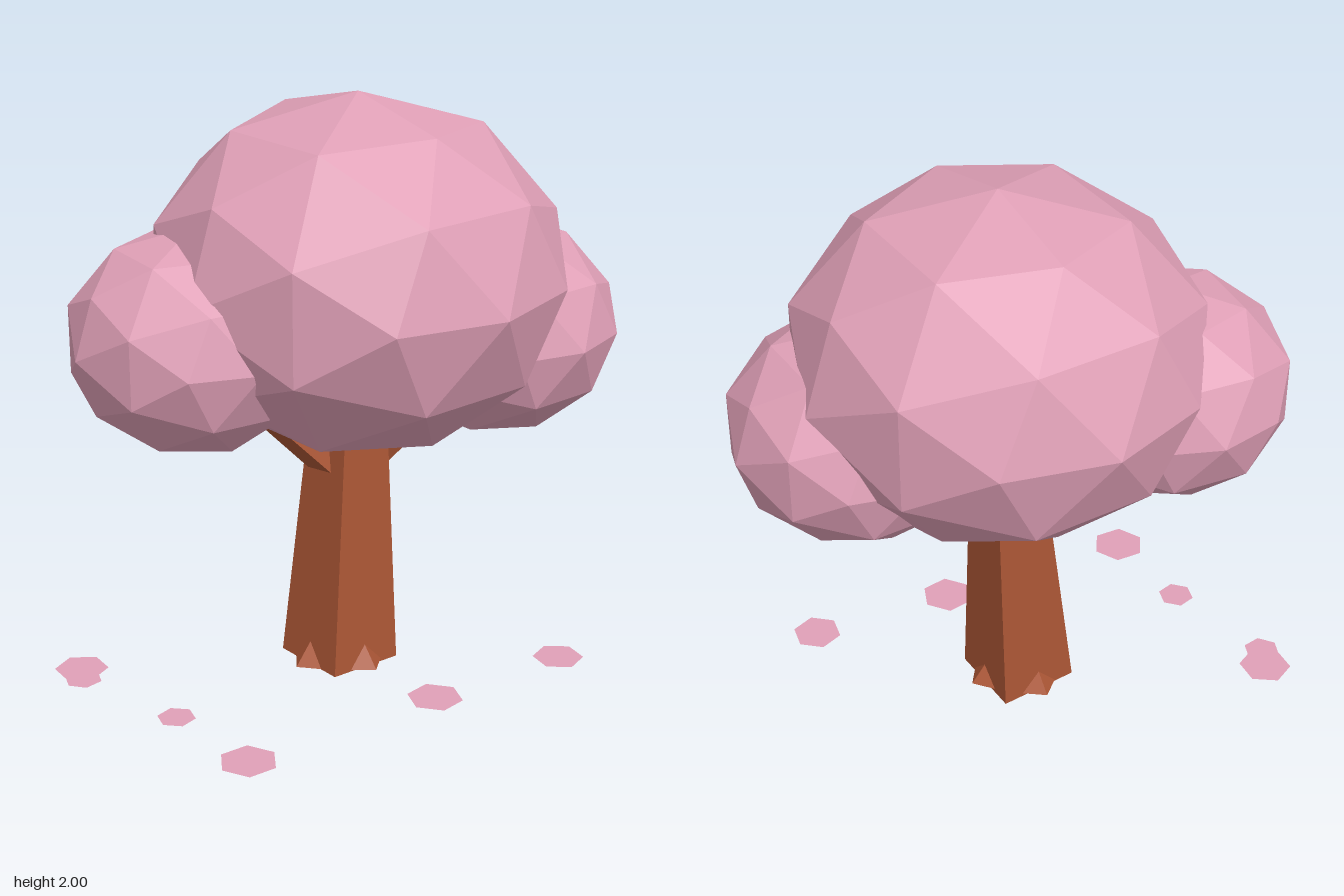
import * as THREE from 'three';

const blossom = new THREE.MeshStandardMaterial({ color: 0xe0a0b7, side: THREE.DoubleSide });
const bark = new THREE.MeshStandardMaterial({ color: 0xab5635 });

// Faceted mesh: unshared corners give every face its own normal
function faceted(name, geometry, material) {
  const flat = geometry.index ? geometry.toNonIndexed() : geometry;
  flat.computeVertexNormals();
  const mesh = new THREE.Mesh(flat, material);
  mesh.name = name;
  return mesh;
}

// Leaf ball: an icosphere with its top edge running along z, turned, flattened and placed
function leafBall(name, [x, y, z], [rx, ry, rz], turn) {
  const g = new THREE.IcosahedronGeometry(1, 1);
  g.rotateX(Math.PI / 2);
  g.rotateY(turn);
  g.scale(rx, ry, rz);
  g.translate(x, y, z);
  return faceted(name, g, blossom);
}

// Square branch between two points
function branch(name, from, to) {
  const a = new THREE.Vector3(...from);
  const b = new THREE.Vector3(...to);
  const g = new THREE.CylinderGeometry(0.07, 0.085, a.distanceTo(b), 4);
  g.rotateY(Math.PI / 4);
  const mesh = faceted(name, g, bark);
  mesh.position.copy(a).add(b).multiplyScalar(0.5);
  mesh.quaternion.setFromUnitVectors(new THREE.Vector3(0, 1, 0), b.sub(a).normalize());
  return mesh;
}

export function createModel() {
  const tree = new THREE.Group();
  tree.name = 'blossomTree';

  // Square trunk, tapering and leaning slightly
  const height = 0.95;
  const trunk = new THREE.CylinderGeometry(0.09 * Math.SQRT2, 0.141 * Math.SQRT2, height, 4);
  trunk.rotateY(Math.PI / 4);
  trunk.translate(0, height / 2, 0);
  const p = trunk.attributes.position;
  for (let i = 0; i < p.count; i++) {
    const t = p.getY(i) / height;
    p.setX(i, p.getX(i) - 0.04 + 0.06 * t);
    p.setZ(i, p.getZ(i) - 0.02 - 0.018 * t);
    // the foot dips a little towards +x
    if (t < 0.01) p.setY(i, 0.012 - 0.05 * (p.getX(i) + 0.04));
  }
  tree.add(faceted('trunk', trunk, bark));

  // One root flare on each side of the trunk foot
  const roots = new THREE.Group();
  roots.name = 'roots';
  for (let i = 0; i < 4; i++) {
    const angle = (i * Math.PI) / 2;
    const root = faceted('root', new THREE.ConeGeometry(0.065, 0.08, 4), bark);
    root.position.set(-0.04 + 0.13 * Math.sin(angle), 0.06, -0.02 + 0.13 * Math.cos(angle));
    root.rotation.y = angle;
    root.scale.x = 1.25;
    roots.add(root);
  }
  tree.add(roots);

  // Branches into the side clumps
  tree.add(branch('rightBranch', [0, 0.69, -0.04], [-0.45, 1.17, -0.2]));
  tree.add(branch('leftBranch', [0, 0.69, -0.04], [0.45, 1.09, 0.15]));

  // Crown and side clumps
  tree.add(leafBall('crown', [0.035, 1.4, -0.01], [0.7, 0.6, 0.705], 0));
  tree.add(leafBall('rightClump', [-0.48, 1.225, -0.22], [0.43, 0.375, 0.43], -0.14));
  tree.add(leafBall('leftClump', [0.475, 1.175, 0.17], [0.43, 0.375, 0.44], 0));

  // Fallen petals: x, z, radius, turn
  const petals = new THREE.Group();
  petals.name = 'fallenPetals';
  [
    [-0.745, 0.36, 0.098, -0.1],
    [-0.8, -0.5, 0.092, 0.4],
    [-0.84, -0.43, 0.065, 0.1],
    [-0.755, -0.01, 0.065, 0.2],
    [-0.02, 0.45, 0.095, 0.1],
    [0.5, 0.52, 0.088, 0.3],
  ].forEach(([x, z, r, turn], i) => {
    const g = new THREE.CircleGeometry(r, 6);
    g.rotateX(-Math.PI / 2);
    g.rotateY(turn);
    const petal = faceted('petal', g, blossom);
    petal.position.set(x, 0.018 + 0.001 * i, z);
    petals.add(petal);
  });
  tree.add(petals);

  return tree;
}
